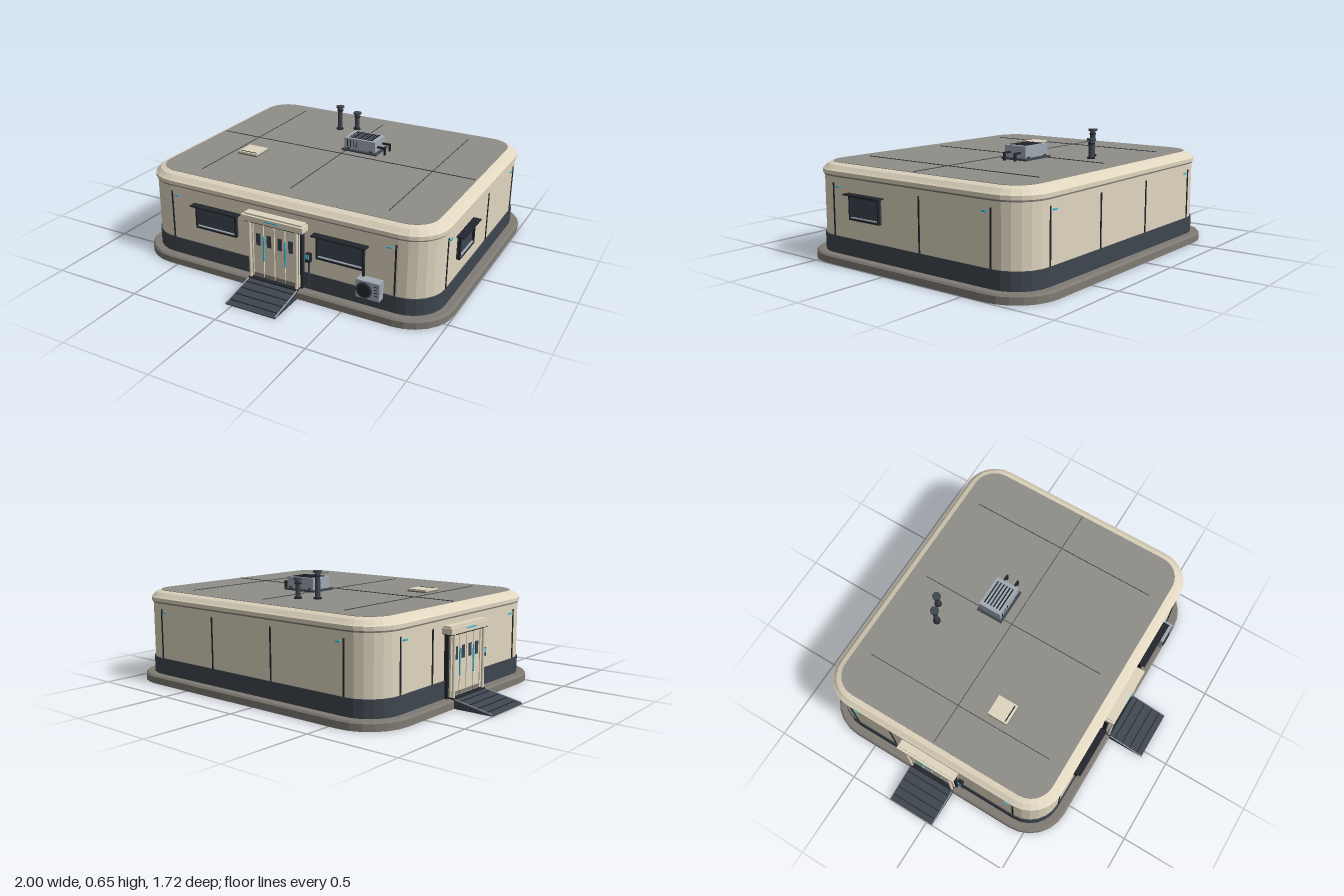
import * as THREE from 'three';

const mat = (name, color) => {
  const m = new THREE.MeshStandardMaterial({ color });
  m.name = name;
  return m;
};

export function createModel() {
  const cream = mat('cream wall', 0xe0d6c0);
  const grey = mat('roof grey', 0x8f8d87);
  const stone = mat('foundation grey', 0x7f7b74);
  const dark = mat('slate', 0x3f464f);
  const black = mat('charcoal', 0x23272d);
  const steel = mat('steel', 0xa0a8b3);
  const cyan = mat('cyan', 0x3cc0da);
  const glass = mat('dark glass', 0x3d4450);

  const model = new THREE.Group();
  model.name = 'building';
  const CX = 0.107, CZ = -0.107, HX = 0.835, HZ = 0.695, R = 0.175;

  const add = (parent, name, geo, material, x = 0, y = 0, z = 0) => {
    const m = new THREE.Mesh(geo, material);
    m.name = name;
    m.position.set(x, y, z);
    parent.add(m);
    return m;
  };
  const box = (parent, name, material, w, h, d, x, y, z) =>
    add(parent, name, new THREE.BoxGeometry(w, h, d), material, x, y, z);
  const cyl = (parent, name, material, r, h, x, y, z, sides = 12) =>
    add(parent, name, new THREE.CylinderGeometry(r, r, h, sides), material, x, y, z);
  const group = (name, x = 0, y = 0, z = 0, turn = 0, parent = model) => {
    const g = new THREE.Group();
    g.name = name;
    g.position.set(x, y, z);
    g.rotation.y = turn;
    parent.add(g);
    return g;
  };

  // Rounded rectangle ring, offset outward from the wall line
  const ring = (offset, y) => {
    const pts = [], r = R + offset, seg = 6;
    for (let q = 0; q < 4; q++) {
      const sx = q === 0 || q === 3 ? 1 : -1, sz = q < 2 ? 1 : -1;
      for (let i = 0; i <= seg; i++) {
        const a = (q + i / seg) * Math.PI / 2;
        pts.push([CX + sx * (HX - R) + r * Math.cos(a), y, CZ + sz * (HZ - R) + r * Math.sin(a)]);
      }
    }
    return pts;
  };

  // Faceted shell through [offset, height] rings, closed at both ends
  const shell = (name, material, profile) => {
    const rings = profile.map(([o, y]) => ring(o, y)), v = [];
    const n = rings[0].length;
    const tri = (...p) => p.forEach((q) => v.push(...q));
    for (let i = 0; i < n; i++) {
      const j = (i + 1) % n;
      for (let k = 0; k + 1 < rings.length; k++) {
        const a = rings[k], b = rings[k + 1];
        tri(a[i], b[i], b[j]);
        tri(a[i], b[j], a[j]);
      }
      const lo = rings[0], hi = rings[rings.length - 1];
      tri([CX, lo[0][1], CZ], lo[i], lo[j]);
      tri([CX, hi[0][1], CZ], hi[j], hi[i]);
    }
    const g = new THREE.BufferGeometry();
    g.setAttribute('position', new THREE.Float32BufferAttribute(v, 3));
    g.computeVertexNormals();
    return add(model, name, g, material);
  };

  // Main body, bottom to top; the foundation is hollow underneath
  shell('foundation', stone, [[0.047, 0.043], [0.047, 0], [0.055, 0], [0.055, 0.036], [0.046, 0.045]]);
  shell('floorUnderside', grey, [[0.002, 0.042], [0.002, 0.044]]);
  shell('plinth', dark, [[0.006, 0.044], [0.006, 0.135]]);
  shell('walls', cream, [[0, 0.134], [0, 0.442]]);
  shell('shadowGap', stone, [[0.003, 0.438], [0.003, 0.448]]);
  shell('roofEdge', cream, [[0.009, 0.447], [0.009, 0.467], [0, 0.474], [-0.018, 0.492], [-0.045, 0.502]]);
  shell('roofPanel', grey, [[-0.046, 0.501], [-0.046, 0.504]]);

  // Roof seams, thin raised fins
  const roofY = 0.505;
  box(model, 'roofSeam', dark, 1.56, 0.005, 0.003, CX, roofY, CZ);
  for (const dx of [-0.545, 0, 0.545])
    box(model, 'roofSeam', dark, 0.003, 0.005, 1.12, CX + dx, roofY, CZ);

  // One frame per wall: x runs along the wall, z points outward
  const front = group('frontWall', 0, 0, CZ + HZ);
  const right = group('leftWall', CX + HX, 0, 0, Math.PI / 2);
  const back = group('backWall', 0, 0, CZ - HZ, Math.PI);
  const left = group('rightWall', CX - HX, 0, 0, -Math.PI / 2);

  // Panel seams and marker lights
  const seams = (wall, xs, lights) => {
    for (const x of xs) box(wall, 'wallSeam', black, 0.008, 0.275, 0.006, x, 0.27, 0.001);
    for (const x of lights) box(wall, 'markerLight', cyan, 0.028, 0.008, 0.008, x, 0.388, 0.002);
  };
  seams(front, [-0.545, 0.755], [-0.512, 0.722]);
  seams(right, [-0.407, 0.19, 0.622], [-0.372, 0.587]);
  seams(back, [-0.755, -0.345, 0.08, 0.545], [-0.722, 0.512]);
  seams(left, [-0.622, -0.365, 0.407], [-0.587, 0.372]);

  // Window with frame, sill and awning
  const windowUnit = (wall, x, w) => {
    const g = group('window', x, 0.297, 0, 0, wall);
    const h = 0.125;
    box(g, 'glass', glass, w, h, 0.012, 0, 0, 0.002);
    for (const s of [-1, 1]) {
      box(g, 'frameSide', black, 0.01, h, 0.024, s * (w / 2 - 0.005), 0, 0.008);
      box(g, 'frameRail', black, w, 0.01, 0.024, 0, s * (h / 2 - 0.005), 0.008);
    }
    box(g, 'sill', steel, w - 0.02, 0.005, 0.018, 0, -0.05, 0.009);
    box(g, 'awning', black, w + 0.035, 0.007, 0.042, 0, 0.067, 0.021);
  };
  windowUnit(front, -0.257, 0.255);
  windowUnit(front, 0.467, 0.26);
  windowUnit(right, -0.17, 0.215);

  // Entrance with four leaves, canopy, keypad and ramp
  const entrance = (wall, x) => {
    const g = group('entrance', x, 0, 0, 0, wall);
    box(g, 'doorRecess', dark, 0.31, 0.33, 0.025, 0, 0.21, 0.006);
    for (const s of [-1, 1]) {
      box(g, 'jamb', black, 0.012, 0.33, 0.022, s * 0.15, 0.21, 0.011);
      box(g, 'reveal', cream, 0.016, 0.33, 0.032, s * 0.135, 0.21, 0.015);
      cyl(g, 'post', cream, 0.008, 0.325, s * 0.136, 0.207, 0.044);
      box(g, 'doorLight', cyan, 0.007, 0.14, 0.008, s * 0.063, 0.22, 0.031);
    }
    for (let i = 0; i < 4; i++) {
      const px = (i - 1.5) * 0.063;
      box(g, 'doorLeaf', cream, 0.058, 0.31, 0.02, px, 0.207, 0.019);
      box(g, 'doorWindow', glass, 0.025, 0.066, 0.006, px, 0.267, 0.029);
      box(g, 'doorFoot', stone, 0.058, 0.018, 0.006, px, 0.064, 0.028);
    }
    box(g, 'threshold', black, 0.29, 0.012, 0.055, 0, 0.046, 0.028);
    box(g, 'canopy', cream, 0.355, 0.03, 0.058, 0, 0.386, 0.028);
    box(g, 'canopyCap', cream, 0.335, 0.009, 0.046, 0, 0.405, 0.022);
    box(g, 'canopyLip', black, 0.33, 0.008, 0.05, 0, 0.368, 0.025);
    box(g, 'canopyLight', cyan, 0.08, 0.007, 0.006, 0, 0.389, 0.056);
    // keypad and its conduit
    box(g, 'keypad', black, 0.028, 0.046, 0.024, 0.186, 0.227, 0.012);
    box(g, 'keypadScreen', cyan, 0.02, 0.024, 0.004, 0.186, 0.235, 0.025);
    box(g, 'keypadConduit', dark, 0.006, 0.15, 0.01, 0.186, 0.13, 0.008);
    // wedge ramp, drawn in profile and swept across the doorway
    const s = new THREE.Shape([[0.054, 0], [0.27, 0], [0.27, 0.005], [0.054, 0.045]]
      .map(([a, b]) => new THREE.Vector2(a, b)));
    const ramp = new THREE.ExtrudeGeometry(s, { depth: 0.288, bevelEnabled: false });
    ramp.rotateY(-Math.PI / 2).translate(0.144, 0, 0);
    add(g, 'ramp', ramp, dark);
    const slope = Math.atan2(0.04, 0.216);
    for (let i = 0; i < 4; i++) {
      const t = 0.15 + i * 0.23;
      box(g, 'rampCleat', black, 0.27, 0.004, 0.005, 0, 0.046 - 0.04 * t, 0.054 + 0.216 * t).rotation.x = slope;
    }
    for (const e of [-1, 1])
      box(g, 'rampEdge', steel, 0.004, 0.006, 0.214, e * 0.143, 0.027, 0.162).rotation.x = slope;
  };
  entrance(front, 0.107);
  entrance(left, CZ);

  // Wall mounted cooling unit
  const cooler = group('wallCooler', 0.637, 0.157, 0, 0, front);
  box(cooler, 'casing', steel, 0.125, 0.096, 0.05, 0, 0, 0.027);
  cyl(cooler, 'fanRim', dark, 0.042, 0.01, -0.017, 0, 0.054, 20).rotation.x = Math.PI / 2;
  cyl(cooler, 'fan', black, 0.034, 0.012, -0.017, 0, 0.055, 20).rotation.x = Math.PI / 2;
  for (let i = 0; i < 4; i++)
    box(cooler, 'vent', black, 0.018, 0.004, 0.004, 0.045, 0.03 - i * 0.016, 0.052);
  box(cooler, 'pipe', black, 0.009, 0.07, 0.012, -0.042, 0.083, 0.01);
  box(cooler, 'bracket', black, 0.11, 0.008, 0.045, 0, -0.05, 0.023);

  // Rooftop unit on a tray
  const unit = group('roofUnit', 0.188, 0.503, -0.238);
  box(unit, 'tray', dark, 0.215, 0.009, 0.158, 0, 0.006, 0);
  box(unit, 'casing', steel, 0.19, 0.062, 0.134, 0, 0.045, 0);
  for (const s of [-1, 1]) {
    box(unit, 'skid', dark, 0.02, 0.012, 0.14, s * 0.07, 0.015, 0);
    box(unit, 'pipe', black, 0.05, 0.01, 0.011, 0.118, 0.04, s * 0.034);
    box(unit, 'pipeDrop', black, 0.011, 0.045, 0.011, 0.14, 0.0225, s * 0.034);
  }
  for (let i = 0; i < 6; i++)
    box(unit, 'topSlat', black, 0.145, 0.004, 0.007, 0, 0.077, (i - 2.5) * 0.019);
  for (let i = 0; i < 4; i++)
    box(unit, 'sideSlat', black, 0.004, 0.038, 0.004, -0.075 + i * 0.018, 0.046, 0.067);

  // Vent stacks
  for (const [x, z, h] of [[-0.09, -0.47, 0.145], [0, -0.52, 0.105]]) {
    const v = group('ventStack', x, 0.503, z);
    cyl(v, 'pipe', dark, 0.014, h, 0, h / 2, 0);
    cyl(v, 'flange', black, 0.021, 0.01, 0, 0.005, 0);
    cyl(v, 'collar', black, 0.018, 0.008, 0, h - 0.025, 0);
    cyl(v, 'cap', dark, 0.024, 0.01, 0, h - 0.003, 0);
  }

  // Roof hatch
  const hatch = group('roofHatch', -0.338, 0.503, 0.111);
  box(hatch, 'hatchFrame', stone, 0.122, 0.008, 0.122, 0, 0.004, 0);
  box(hatch, 'hatchLid', cream, 0.118, 0.01, 0.118, 0, 0.012, 0);
  box(hatch, 'hatchHandle', black, 0.1, 0.003, 0.006, 0, 0.017, 0.044);

  return model;
}
